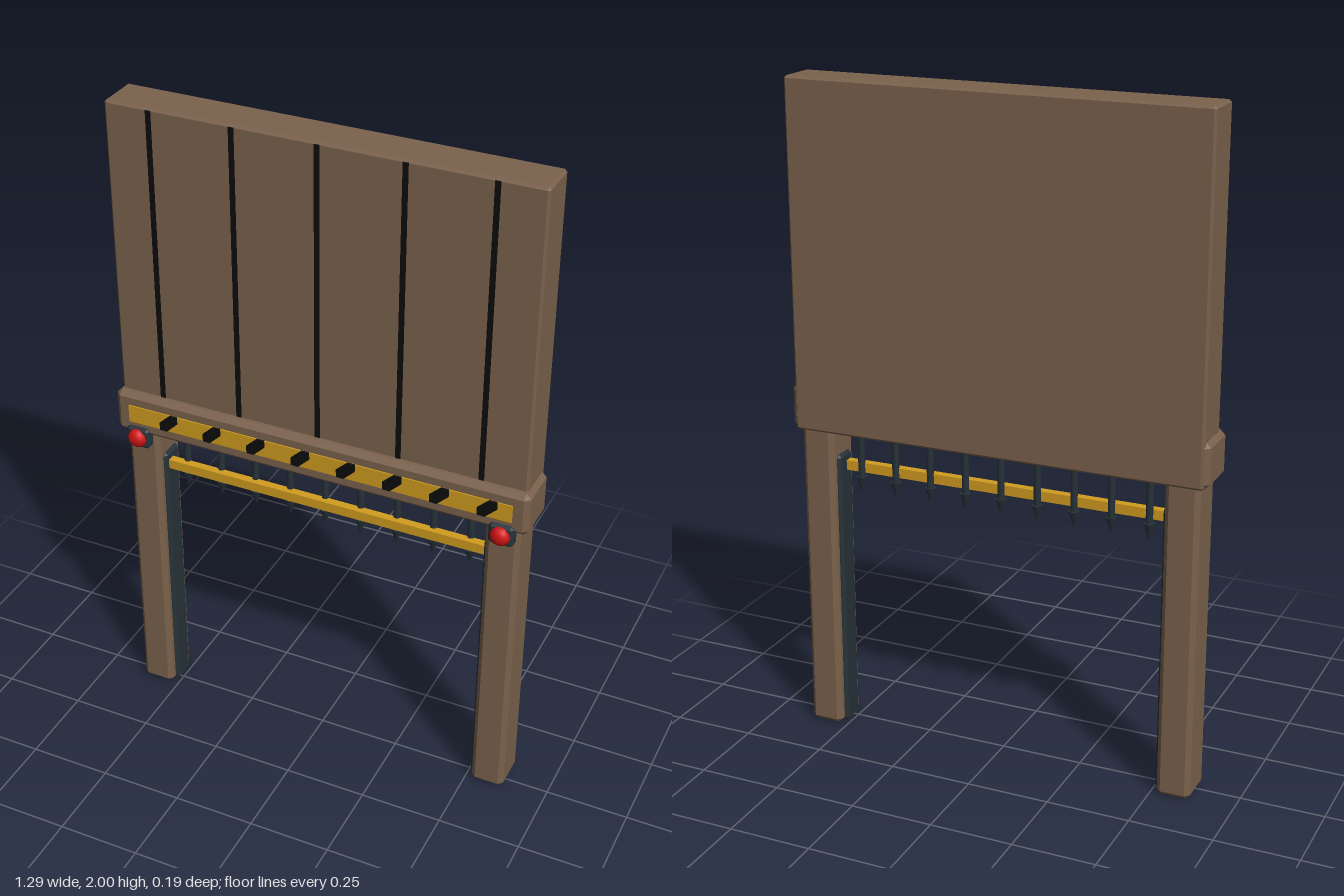
import * as THREE from 'three';
import { ConvexGeometry } from 'three/addons/geometries/ConvexGeometry.js';

const mat = (name, color) => {
  const m = new THREE.MeshStandardMaterial({ color });
  m.name = name;
  return m;
};

// Box between two corners, with every edge chamfered by c
function chamferBox([x0, y0, z0], [x1, y1, z1], c) {
  const half = [(x1 - x0) / 2, (y1 - y0) / 2, (z1 - z0) / 2];
  const points = [];
  for (const sx of [-1, 1]) for (const sy of [-1, 1]) for (const sz of [-1, 1]) {
    for (let full = 0; full < 3; full++) {
      const d = half.map((h, i) => (i === full ? h : h - c));
      points.push(new THREE.Vector3(sx * d[0], sy * d[1], sz * d[2]));
    }
  }
  return new ConvexGeometry(points).translate((x0 + x1) / 2, (y0 + y1) / 2, (z0 + z1) / 2);
}

export function createModel() {
  const wood = mat('brown wood', 0x7a614c);
  const yellow = mat('warning yellow', 0xd19c1f);
  const steel = mat('dark steel', 0x263238);
  const black = mat('black', 0x0d0d0d);
  const red = mat('lamp red', 0xd01212);

  const model = new THREE.Group();
  model.name = 'gate';
  const add = (name, geometry, material, parent = model) => {
    const mesh = new THREE.Mesh(geometry, material);
    mesh.name = name;
    parent.add(mesh);
    return mesh;
  };
  const box = (x0, x1, y0, y1, z0, z1) =>
    new THREE.BoxGeometry(x1 - x0, y1 - y0, z1 - z0)
      .translate((x0 + x1) / 2, (y0 + y1) / 2, (z0 + z1) / 2);

  // Upper wall with dark plank seams
  add('wall', chamferBox([-0.632, 0.96, -0.093], [0.632, 2, 0.037], 0.007), wood);
  for (let i = -2; i <= 2; i++) {
    const x = i * 0.248;
    add('plankSeam', box(x - 0.008, x + 0.008, 1.08, 1.994, 0.034, 0.039), black);
  }

  // Lintel, with the slot the grille drops from
  add('lintel', chamferBox([-0.646, 0.96, -0.09], [0.646, 1.097, 0.062], 0.016), wood);
  add('slot', box(-0.51, 0.51, 0.952, 0.961, -0.055, 0.025), black);

  // Yellow warning band with slanted stripes
  add('warningBand', box(-0.6, 0.6, 1.002, 1.057, 0.06, 0.066), yellow);
  const stripe = new THREE.Shape([
    [-0.029, -0.003], [-0.028, -0.027], [-0.006, -0.028],
    [0.029, 0.006], [0.028, 0.028], [0.004, 0.028],
  ].map(([x, y]) => new THREE.Vector2(x, y)));
  const stripeGeometry = new THREE.ExtrudeGeometry(stripe, { depth: 0.006, bevelEnabled: false });
  for (let i = 0; i < 8; i++) {
    add('warningStripe', stripeGeometry, black).position.set(-0.466 + i * 0.142, 1.03, 0.064);
  }

  // Posts, inner guide rails and lamps, mirrored on both sides
  for (const s of [-1, 1]) {
    const span = (a, b) => (s > 0 ? [a, b] : [-b, -a]);
    const [p0, p1] = span(0.518, 0.62);
    add('post', chamferBox([p0, 0, -0.082], [p1, 1, 0.046], 0.014), wood);
    const [r0, r1] = span(0.507, 0.57);
    add('guideRail', chamferBox([r0, 0.002, -0.056], [r1, 0.88, 0.02], 0.009), steel);

    const lamp = new THREE.Group();
    lamp.name = 'lamp';
    lamp.position.set(s * 0.572, 0.954, 0);
    model.add(lamp);
    add('lampHousing', chamferBox([-0.037, -0.034, 0.03], [0.037, 0.034, 0.074], 0.009), steel, lamp);
    const dome = new THREE.SphereGeometry(0.03, 12, 6, 0, Math.PI * 2, 0, Math.PI / 2);
    dome.rotateX(Math.PI / 2).scale(1, 1, 0.8);
    add('lampDome', dome, red, lamp).position.z = 0.071;
  }

  // Grille of pointed bars with one yellow crossbar
  const grille = new THREE.Group();
  grille.name = 'grille';
  model.add(grille);
  const bar = new THREE.CylinderGeometry(0.011, 0.011, 0.18, 8).translate(0, 0.89, 0);
  const tip = new THREE.CylinderGeometry(0.017, 0.003, 0.045, 8).translate(0, 0.79, 0);
  for (let i = -4; i <= 4; i++) {
    add('bar', bar, steel, grille).position.set(i * 0.1138, 0, -0.018);
    add('barTip', tip, steel, grille).position.set(i * 0.1138, 0, -0.018);
  }
  add('crossbar', box(-0.51, 0.51, 0.825, 0.855, -0.017, 0.008), yellow, grille);

  return model;
}
